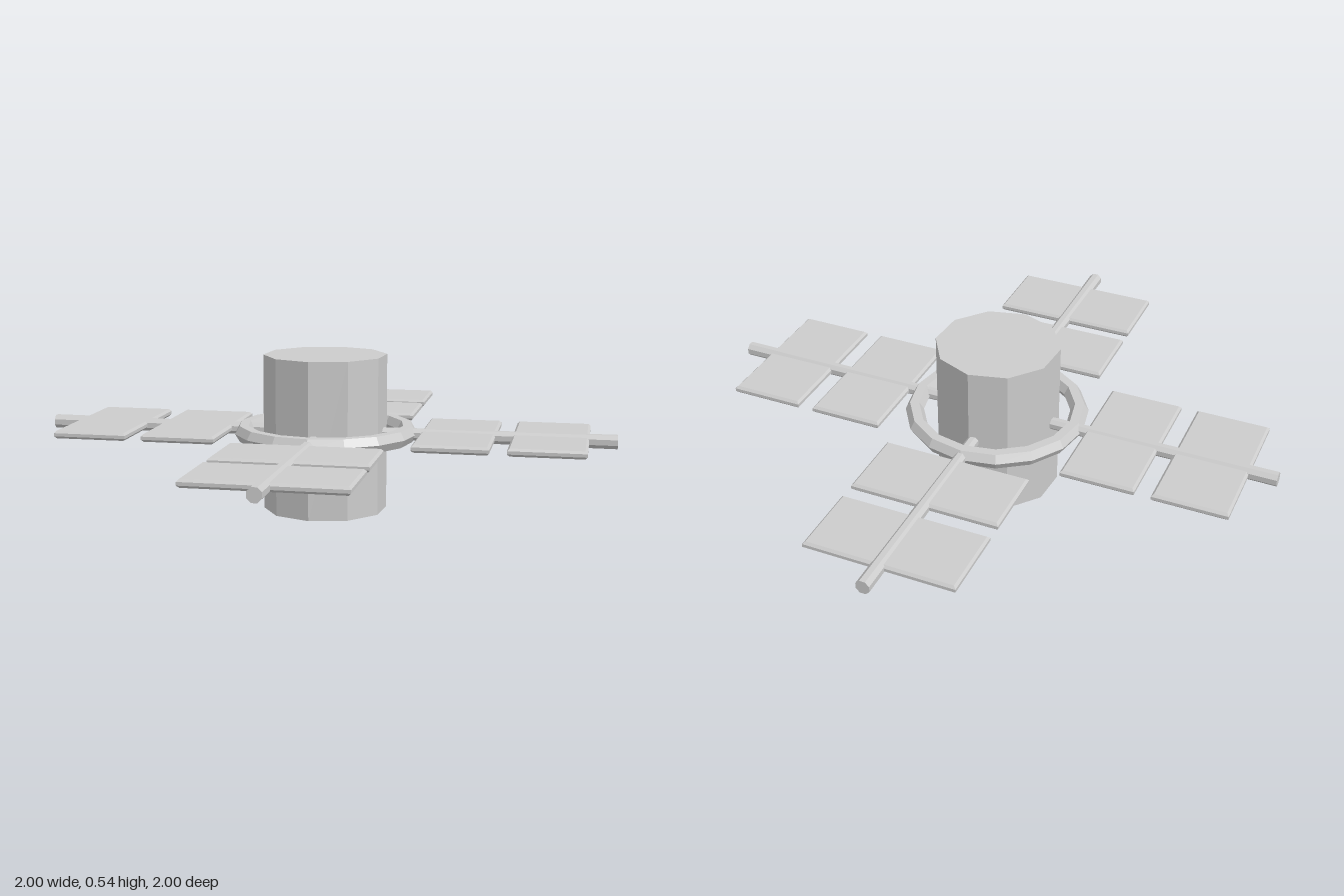
import * as THREE from 'three';

const MID = 0.272; // height of the ring, spokes and panels

// Thin rectangular plate with chamfered edges, lying flat and centred on the origin
function makePanelGeometry(width, depth, thickness, bevel) {
  const w = width / 2 - bevel, d = depth / 2 - bevel;
  const shape = new THREE.Shape([
    new THREE.Vector2(-w, -d), new THREE.Vector2(w, -d),
    new THREE.Vector2(w, d), new THREE.Vector2(-w, d),
  ]);
  const geometry = new THREE.ExtrudeGeometry(shape, {
    depth: thickness - 2 * bevel, bevelEnabled: true,
    bevelThickness: bevel, bevelSize: bevel, bevelSegments: 1,
  });
  return geometry.center().rotateX(-Math.PI / 2);
}

export function createModel() {
  const group = new THREE.Group();
  const grey = new THREE.MeshStandardMaterial({ color: 0xcccccc });
  grey.name = 'light grey';
  grey.flatShading = true;

  const add = (parent, name, geometry, x = 0, y = 0, z = 0) => {
    const mesh = new THREE.Mesh(geometry, grey);
    mesh.name = name;
    mesh.position.set(x, y, z);
    parent.add(mesh);
    return mesh;
  };

  // Ten-sided central hull, turned slightly off axis
  const hull = new THREE.CylinderGeometry(0.215, 0.215, 0.543, 10);
  hull.rotateY(THREE.MathUtils.degToRad(-4));
  add(group, 'centralHull', hull, -0.002, 0.2715, 0.002);

  // Faceted ring around the hull
  const ring = new THREE.TorusGeometry(0.288, 0.032, 6, 16).rotateX(Math.PI / 2);
  add(group, 'ring', ring, 0, MID, 0);

  // Four arms: a spoke running out from the hull, carrying two panels
  const spoke = new THREE.CylinderGeometry(0.025, 0.021, 0.85, 8);
  spoke.rotateY(Math.PI / 8).rotateZ(-Math.PI / 2);
  const panel = makePanelGeometry(0.257, 0.518, 0.027, 0.008);
  for (let i = 0; i < 4; i++) {
    const arm = new THREE.Group();
    arm.name = 'arm' + (i + 1);
    arm.position.y = MID;
    arm.rotation.y = i * Math.PI / 2;
    add(arm, 'spoke', spoke, 0.575);
    add(arm, 'innerPanel', panel, 0.463);
    add(arm, 'outerPanel', panel, 0.777);
    group.add(arm);
  }
  return group;
}
